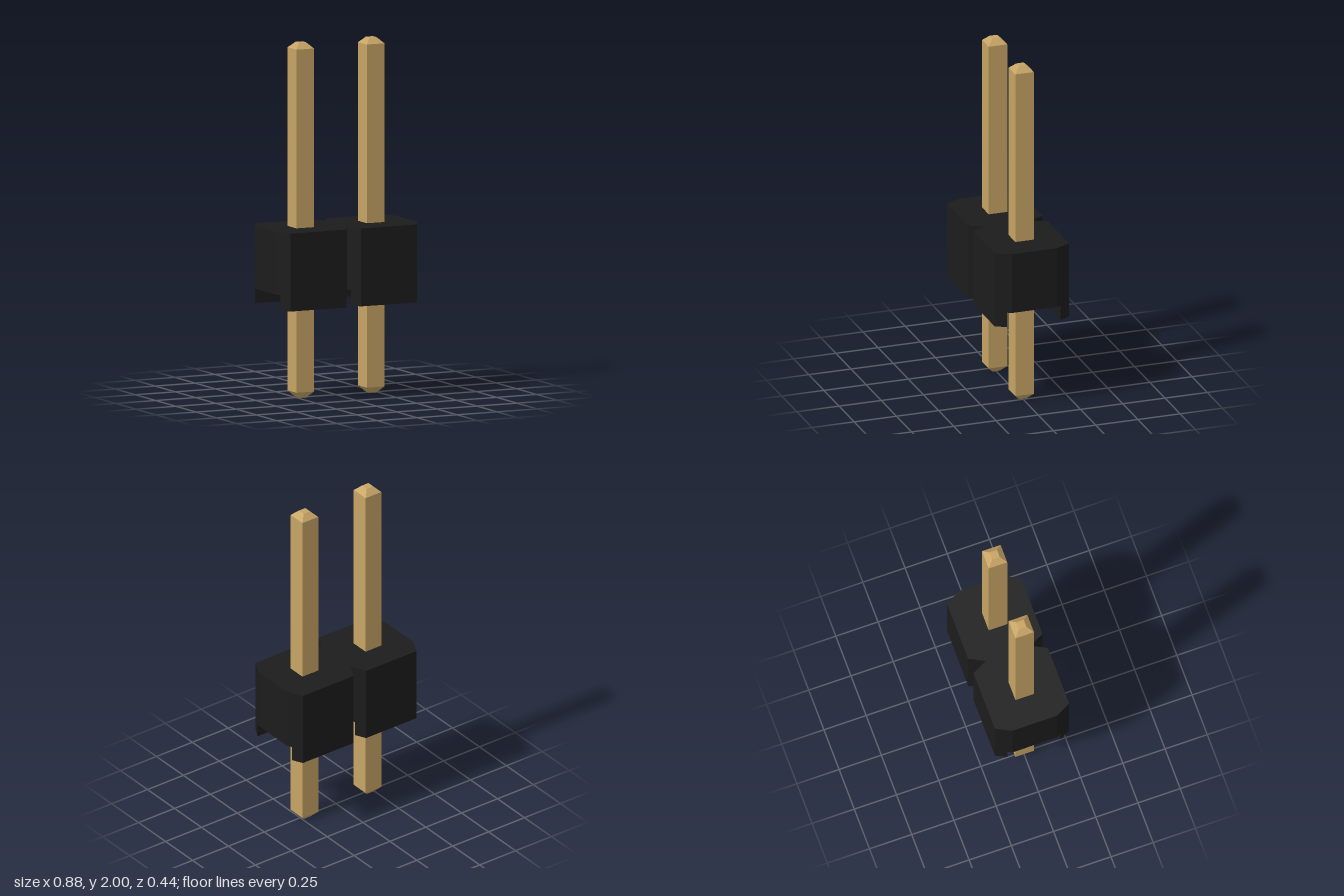
import * as THREE from 'three';

const plastic = new THREE.MeshStandardMaterial({ color: 0x1c1c1c, flatShading: true });
plastic.name = 'black plastic';
const metal = new THREE.MeshStandardMaterial({ color: 0xc7a465, flatShading: true });
metal.name = 'gold plated metal';

const PITCH = 0.44, HALF = 0.22, SIDE = 0.133, FACE = 0.175, CHANNEL = 0.158;
const BOTTOM = 0.522, SHELF = 0.608, TOP = 0.961;

// Extrudes a plan outline upwards between two heights
function prism(points, y0, y1) {
  const shape = new THREE.Shape(points.map(([x, z]) => new THREE.Vector2(x, z)));
  const geometry = new THREE.ExtrudeGeometry(shape, { depth: y1 - y0, bevelEnabled: false });
  geometry.rotateX(-Math.PI / 2);
  geometry.translate(0, y0, 0);
  return geometry;
}

function add(parent, name, geometry, material) {
  const mesh = new THREE.Mesh(geometry, material);
  mesh.name = name;
  parent.add(mesh);
  return mesh;
}

export function createModel() {
  const model = new THREE.Group();
  model.name = 'pinHeader';
  const c = PITCH / 2;

  // Housing: two joined chamfered blocks with V notches front and back
  const edge = [
    [-PITCH, SIDE], [-c - FACE, HALF], [-c + FACE, HALF], [0, SIDE],
    [c - FACE, HALF], [c + FACE, HALF], [PITCH, SIDE],
  ];
  const outline = [...edge, ...edge.map(([x, z]) => [-x, -z])];
  add(model, 'housing', prism(outline, SHELF, TOP), plastic);

  // Feet: front and back strips either side of the underside channel
  const reach = HALF - (CHANNEL - SIDE) * (HALF - FACE) / (HALF - SIDE);
  for (const x of [-c, c]) {
    for (const s of [-1, 1]) {
      const foot = [[-reach, CHANNEL], [reach, CHANNEL], [FACE, HALF], [-FACE, HALF]]
        .map(([px, pz]) => [x + s * px, s * pz]);
      add(model, 'foot', prism(foot, BOTTOM, SHELF), plastic);
    }
  }

  // Pins: square bars with tapered ends
  const r = 0.055 * Math.SQRT2, tip = 0.022 * Math.SQRT2;
  const profile = [[0, 0], [tip, 0], [r, 0.035], [r, 1.967], [tip, 2], [0, 2]]
    .map(([x, y]) => new THREE.Vector2(x, y));
  for (const x of [-c, c]) {
    add(model, 'pin', new THREE.LatheGeometry(profile, 4, Math.PI / 4), metal).position.x = x;
  }
  return model;
}
